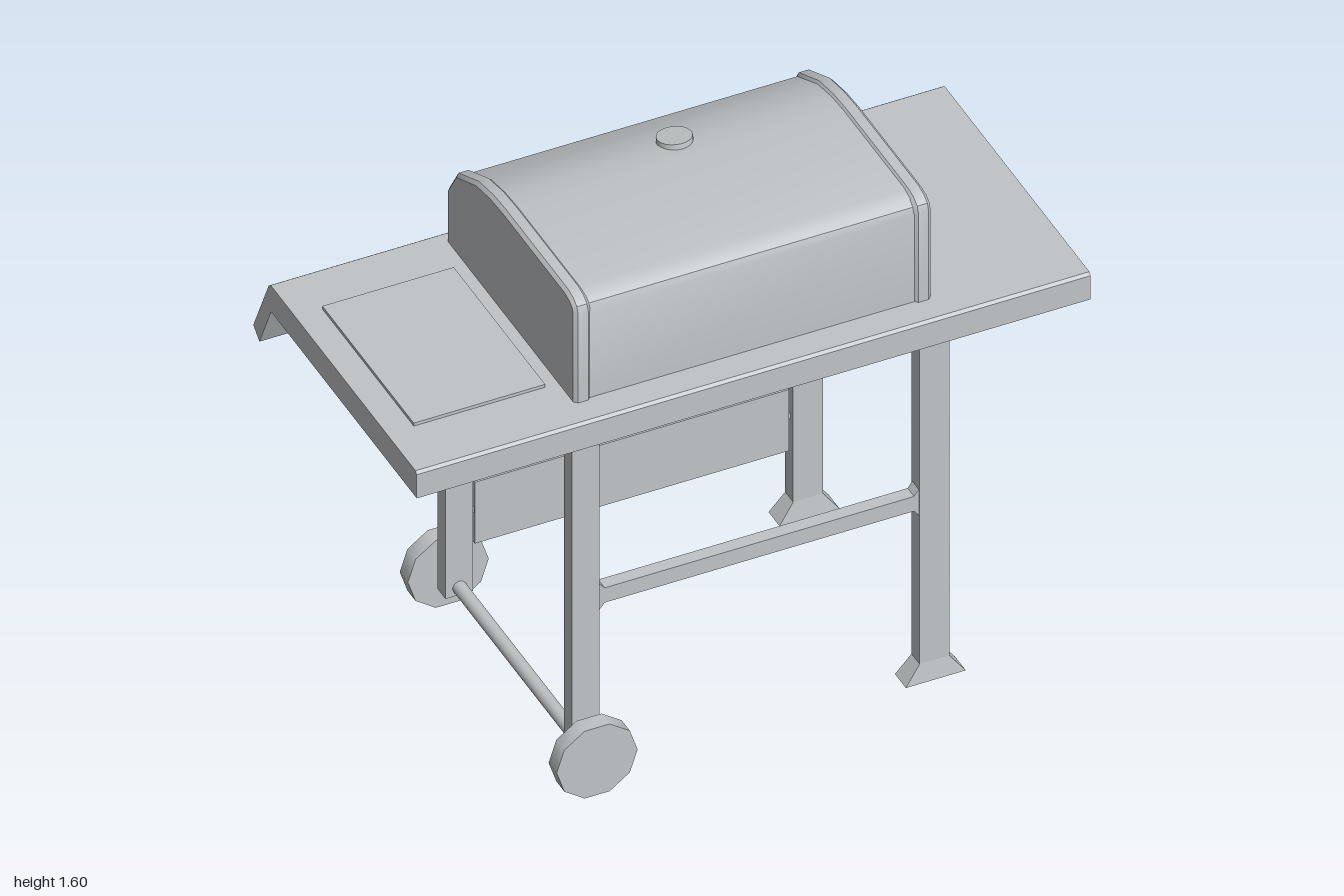
import * as THREE from 'three';
import { toCreasedNormals } from 'three/addons/utils/BufferGeometryUtils.js';

export function createModel() {
  const model = new THREE.Group();
  model.name = 'barbecueGrill';
  const steel = new THREE.MeshStandardMaterial({ color: 0xc0c4c6 });
  steel.name = 'brushed steel';

  const add = (name, geo, x = 0, y = 0, z = 0) => {
    const m = new THREE.Mesh(geo, steel);
    m.name = name;
    m.position.set(x, y, z);
    model.add(m);
    return m;
  };
  // box given by its limits
  const box = (name, x0, x1, y0, y1, z0, z1) =>
    add(name, new THREE.BoxGeometry(x1 - x0, y1 - y0, z1 - z0), (x0 + x1) / 2, (y0 + y1) / 2, (z0 + z1) / 2);
  // [z, y] profile swept along x, with optional chamfer
  const sweep = (name, pts, x0, x1, bevel = 0) => {
    const shape = new THREE.Shape(pts.map(([z, y]) => new THREE.Vector2(-z, y)));
    const geo = new THREE.ExtrudeGeometry(shape, {
      depth: x1 - x0 - 2 * bevel, bevelEnabled: bevel > 0, bevelSize: bevel,
      bevelThickness: bevel, bevelOffset: -bevel, bevelSegments: 1,
    });
    geo.rotateY(Math.PI / 2);
    return add(name, toCreasedNormals(geo, 0.55), x0 + bevel, 0, 0);
  };
  const disc = (name, r, h, sides, x, y, z) =>
    add(name, toCreasedNormals(new THREE.CylinderGeometry(r, r * 1.02, h, sides), 0.6), x, y, z);

  // tabletop with sloping control panel
  sweep('tabletop', [
    [0.49, 1.162], [0.49, 1.242], [0.482, 1.25], [-0.413, 1.25], [-0.425, 1.24],
    [-0.52, 1.04], [-0.482, 1.01], [-0.41, 1.162],
  ], -1, 1);

  // control knobs
  const slope = Math.atan2(0.903, 0.43);
  for (const x of [-0.71, -0.375, -0.125, 0.125, 0.375])
    disc('controlKnob', 0.045, 0.025, 16, x, 1.153, -0.477).rotation.x = -slope;

  // hood: inset shell between two thicker end caps
  const hood = [
    [0.405, 1.23], [0.405, 1.55], [0.397, 1.571], [0.375, 1.586], [0.34, 1.593], [-0.04, 1.593],
    [-0.12, 1.588], [-0.21, 1.57], [-0.335, 1.51], [-0.388, 1.425], [-0.388, 1.23],
  ];
  const inset = hood.map(([z, y]) => [z * 0.98, y > 1.3 ? y - 0.006 : y]);
  sweep('hoodShell', inset, -0.45, 0.53);
  sweep('hoodEndCap', hood, -0.49, -0.44, 0.01);
  sweep('hoodEndCap', hood, 0.52, 0.57, 0.01);

  // thermometer
  disc('thermometer', 0.05, 0.02, 20, 0.065, 1.583, -0.135).rotation.x = -0.15;

  // hood handle with mounting flanges
  const path = new THREE.CatmullRomCurve3([
    [-0.292, 1.342, -0.375], [-0.292, 1.344, -0.425], [-0.283, 1.35, -0.445], [-0.26, 1.355, -0.452],
    [0.33, 1.355, -0.452], [0.353, 1.35, -0.445], [0.362, 1.344, -0.425], [0.362, 1.342, -0.375],
  ].map(p => new THREE.Vector3(...p)), false, 'centripetal');
  add('hoodHandle', new THREE.TubeGeometry(path, 60, 0.014, 10));
  for (const x of [-0.292, 0.362])
    disc('handleFlange', 0.026, 0.016, 14, x, 1.342, -0.389).rotation.x = Math.PI / 2;

  // side burner cover
  box('sideBurnerCover', -0.92, -0.53, 1.24, 1.26, -0.26, 0.305);

  // legs, feet and wheels
  for (const [z, side] of [[0.424, 1], [-0.357, -1]]) {
    box('wheelLeg', -0.52, -0.438, 0.08, 1.17, z - 0.025, z + 0.025);
    box('footLeg', 0.512, 0.6, 0.03, 1.17, z - 0.025, z + 0.025);

    // flared foot: widen the bottom of a box
    const foot = new THREE.BoxGeometry(0.088, 0.06, 0.05);
    const p = foot.attributes.position;
    for (let i = 0; i < p.count; i++)
      if (p.getY(i) < 0) p.setXYZ(i, p.getX(i) * 2.02, p.getY(i), p.getZ(i) * 1.35);
    foot.computeVertexNormals();
    add('foot', foot, 0.556, 0.03, z);

    // ten-sided wheel with flat bottom
    const wheel = new THREE.CylinderGeometry(0.12, 0.12, 0.05, 10);
    wheel.rotateY(Math.PI / 2);
    wheel.rotateX(Math.PI / 2);
    add('wheel', toCreasedNormals(wheel, 0.7), -0.479, 0.115, side > 0 ? 0.495 : -0.425);
  }

  // axle
  const axle = new THREE.CylinderGeometry(0.02, 0.02, 0.9, 12);
  axle.rotateX(Math.PI / 2);
  add('axle', axle, -0.479, 0.107, 0.035);

  // rear crossbar with gusseted ends
  const bar = new THREE.Shape([
    [-0.445, 0.55], [-0.42, 0.58], [0.498, 0.58], [0.52, 0.55],
    [0.52, 0.66], [0.498, 0.63], [-0.42, 0.63], [-0.445, 0.66],
  ].map(p => new THREE.Vector2(...p)));
  add('rearCrossbar', new THREE.ExtrudeGeometry(bar, { depth: 0.04, bevelEnabled: false }), 0, 0, 0.404);

  // cabinet front: door above, fixed panel below, narrow gap between
  box('cabinetDoor', -0.427, 0.505, 0.457, 1.17, -0.374, -0.344);
  box('lowerPanel', -0.427, 0.505, 0.228, 0.436, -0.38, -0.344);
  // small tabs join the panels to the legs
  for (const y of [0.33, 0.7, 1.05])
    box('panelTab', -0.45, 0.52, y, y + 0.02, -0.364, -0.35);

  return model;
}
